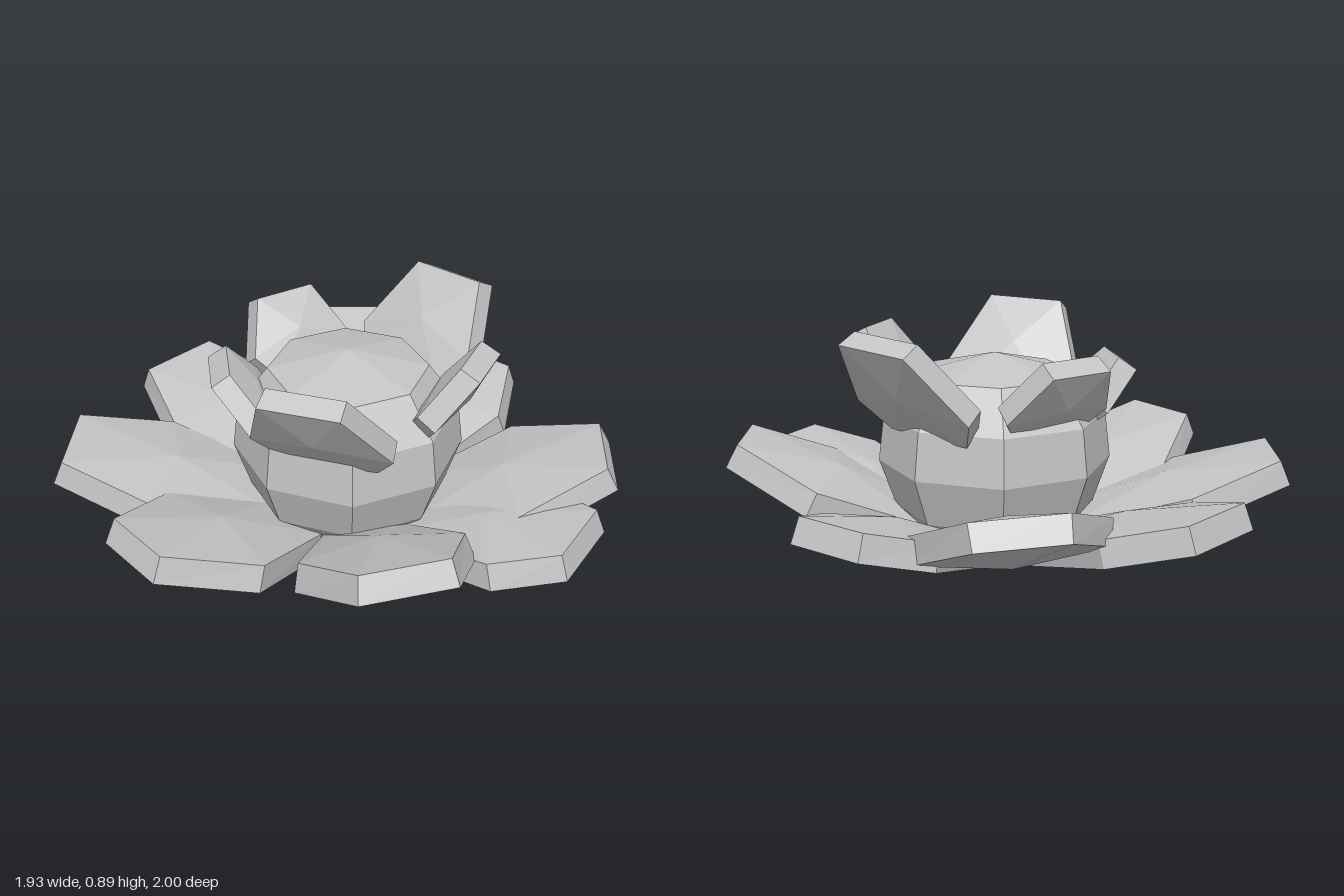
import * as THREE from 'three';

const grey = new THREE.MeshStandardMaterial({ color: 0xc4c4c4, flatShading: true });
grey.name = 'stone grey';

const CENTRE = new THREE.Vector3(0.04, 0, 0);

// Thick six-cornered petal: underside outline from base to tip edge (a, b),
// raised along its normal and tapered, with both faces swelling to a middle point.
function petalGeometry(a, b, base, s) {
  const tip = a.clone().add(b).multiplyScalar(0.5);
  const u = tip.clone().sub(base);
  const w = b.clone().sub(a).normalize();
  const n = u.clone().cross(w).normalize();
  if (n.y < 0) { n.negate(); w.negate(); }
  const at = (t, side, up = 0) =>
    base.clone().addScaledVector(u, t).addScaledVector(w, side).addScaledVector(n, up);

  const half = a.distanceTo(b) / 2;
  const outline = [
    [1, -half], [1, half], [s.wideAt, s.wide], [0, s.base], [0, -s.base], [s.wideAt, -s.wide],
  ];
  const lower = outline.map(([t, side]) => at(t, side));
  const upper = outline.map(([t, side]) => at(t * s.taperLength, side * s.taper, s.thick));
  const lowMid = at(0.5, 0, -s.swell);
  const topMid = at(0.5, 0, s.thick + s.swell);

  const tris = [];
  for (let i = 0; i < 6; i++) {
    const j = (i + 1) % 6;
    tris.push(topMid, upper[i], upper[j]);
    tris.push(lowMid, lower[j], lower[i]);
    tris.push(lower[i], lower[j], upper[j], lower[i], upper[j], upper[i]);
  }
  const geometry = new THREE.BufferGeometry().setFromPoints(tris);
  geometry.computeVertexNormals();
  return geometry;
}

export function createModel() {
  const flower = new THREE.Group();
  flower.name = 'lotusFlower';
  const add = (name, geometry) => {
    const mesh = new THREE.Mesh(geometry, grey);
    mesh.name = name;
    flower.add(mesh);
    return mesh;
  };

  // Faceted bud in the middle
  const profile = [[0, 0], [0.23, 0.055], [0.36, 0.2], [0.42, 0.37], [0.4, 0.54], [0.29, 0.69], [0, 0.76]]
    .map(([r, y]) => new THREE.Vector2(r, y));
  add('bud', new THREE.LatheGeometry(profile, 8)).position.copy(CENTRE);

  // Outer ring: lower tip corners (x, y, z), (x, y, z), half width, place of the widest point, taper
  const outer = [
    [-0.10, 0.27, -1.00, 0.24, 0.27, -1.00, 0.28, 0.61, 0.97],
    [0.62, 0.365, -0.81, 0.85, 0.35, -0.61, 0.33, 0.54, 1.04],
    [0.955, 0.26, -0.23, 0.965, 0.26, 0.07, 0.27, 0.62, 0.95],
    [0.72, 0.35, 0.69, 0.48, 0.35, 0.89, 0.31, 0.55, 0.97],
    [0.36, 0.25, 0.925, 0.04, 0.25, 0.995, 0.28, 0.67, 0.93],
    [-0.38, 0.40, 0.87, -0.67, 0.40, 0.70, 0.32, 0.54, 0.92],
    [-0.965, 0.32, 0.07, -0.92, 0.31, -0.23, 0.31, 0.54, 0.95],
    [-0.81, 0.30, -0.66, -0.55, 0.30, -0.88, 0.29, 0.57, 0.97],
  ];
  outer.forEach(([ax, ay, az, bx, by, bz, wide, wideAt, taper], i) => {
    const style = { wide, wideAt, taper, taperLength: 0.99, base: 0.15, thick: 0.095, swell: 0.04 };
    const a = new THREE.Vector3(ax, ay, az);
    const b = new THREE.Vector3(bx, by, bz);
    const out = a.clone().add(b).multiplyScalar(0.5).sub(CENTRE).setY(0).normalize();
    const base = CENTRE.clone().addScaledVector(out, 0.28).setY(0.06);
    add(`outerPetal${i + 1}`, petalGeometry(a, b, base, style));
  });

  // Inner ring: outer tip corners, base centre, half width
  const inner = [
    [0.32, 0.80, 0.46, 0.11, 0.80, 0.535, 0.18, 0.54, 0.32, 0.21],
    [0.64, 0.84, -0.13, 0.64, 0.85, 0.17, 0.39, 0.51, 0.00, 0.26],
    [0.05, 0.76, -0.52, 0.28, 0.76, -0.46, 0.11, 0.52, -0.30, 0.21],
    [-0.41, 0.70, -0.23, -0.27, 0.70, -0.40, -0.23, 0.50, -0.18, 0.20],
    [-0.44, 0.84, 0.41, -0.55, 0.83, 0.14, -0.25, 0.49, 0.18, 0.26],
  ];
  inner.forEach(([ax, ay, az, bx, by, bz, px, py, pz, wide], i) => {
    const style = {
      wide, wideAt: 0.3, taper: 0.97, taperLength: 0.97, base: wide * 0.68, thick: 0.08, swell: 0.025,
    };
    const a = new THREE.Vector3(ax, ay, az);
    const b = new THREE.Vector3(bx, by, bz);
    add(`innerPetal${i + 1}`, petalGeometry(a, b, new THREE.Vector3(px, py, pz), style));
  });

  return flower;
}
